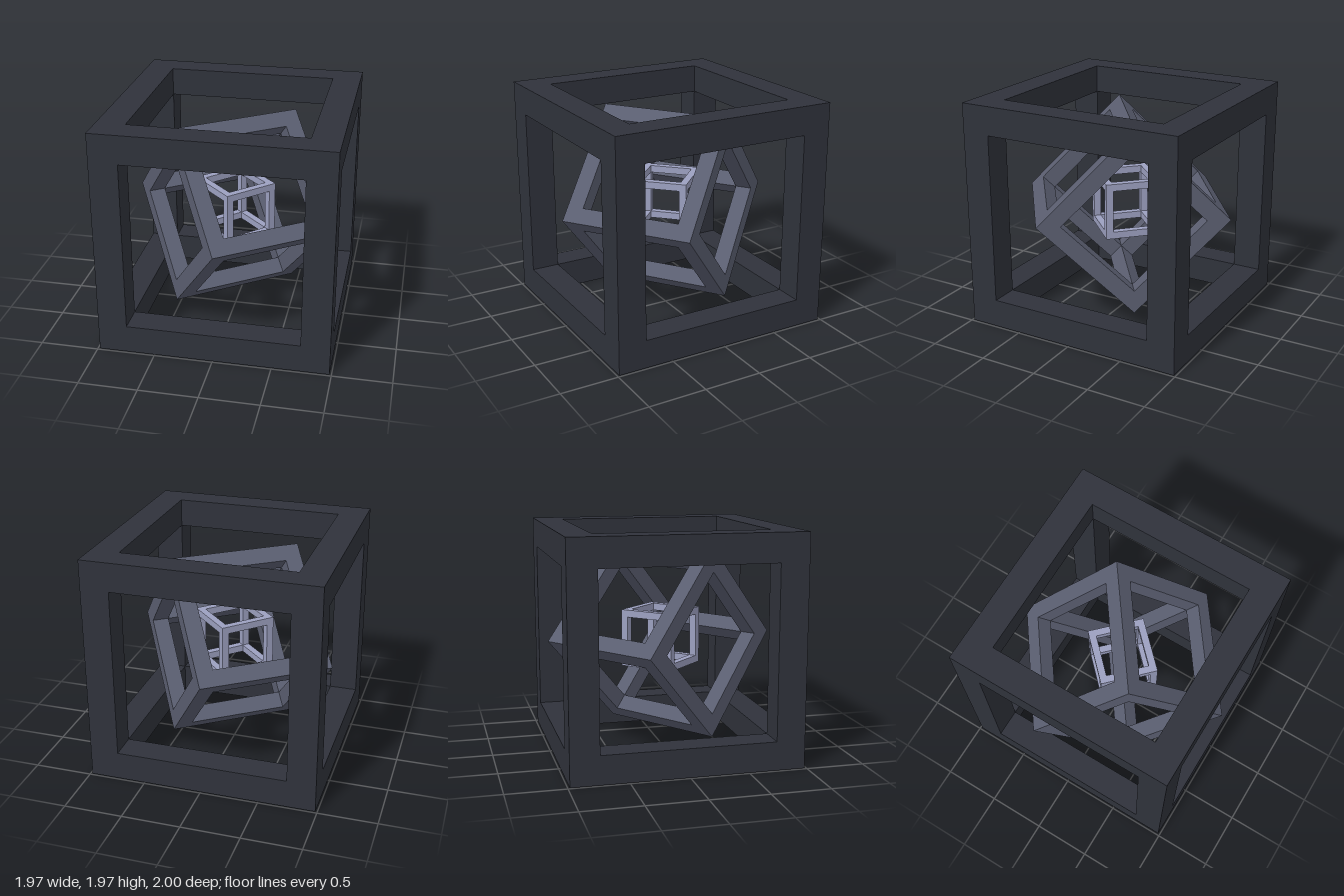
import * as THREE from 'three';

const CENTRE_Y = 0.983;

// Open cube frame: a square ring at top and bottom joined by four corner posts
function cubeFrame(name, side, color) {
  const frame = new THREE.Group();
  frame.name = name;
  const material = new THREE.MeshStandardMaterial({ color });
  const bar = side / 8;
  const h = side / 2;
  const i = h - bar;

  const square = (r) => [
    new THREE.Vector2(-r, -r), new THREE.Vector2(r, -r),
    new THREE.Vector2(r, r), new THREE.Vector2(-r, r),
  ];
  const shape = new THREE.Shape(square(h));
  shape.holes.push(new THREE.Path(square(i).reverse()));
  const ringGeometry = new THREE.ExtrudeGeometry(shape, { depth: bar, bevelEnabled: false });
  ringGeometry.rotateX(-Math.PI / 2);
  for (const [ringName, y] of [['bottomRing', -h], ['topRing', i]]) {
    const ring = new THREE.Mesh(ringGeometry, material);
    ring.name = ringName;
    ring.position.y = y;
    frame.add(ring);
  }

  const postGeometry = new THREE.BoxGeometry(bar, 2 * i, bar);
  for (const sx of [-1, 1]) {
    for (const sz of [-1, 1]) {
      const post = new THREE.Mesh(postGeometry, material);
      post.name = 'cornerPost';
      post.position.set(sx * (h - bar / 2), 0, sz * (h - bar / 2));
      frame.add(post);
    }
  }
  frame.position.y = CENTRE_Y;
  return frame;
}

export function createModel() {
  const model = new THREE.Group();
  model.name = 'nestedCubes';

  const outer = cubeFrame('outerFrame', 1.966, 0x2f323b);

  // Middle frame balances on a corner, its long diagonal close to z
  const middle = cubeFrame('middleFrame', 1.155, 0x5a5e70);
  middle.rotation.set(Math.PI / 4, THREE.MathUtils.degToRad(36), 0, 'YXZ');

  // Inner frame turned an eighth about the vertical
  const inner = cubeFrame('innerFrame', 0.497, 0x9ca0c0);
  inner.rotation.y = Math.PI / 4;

  model.add(outer, middle, inner);
  return model;
}
